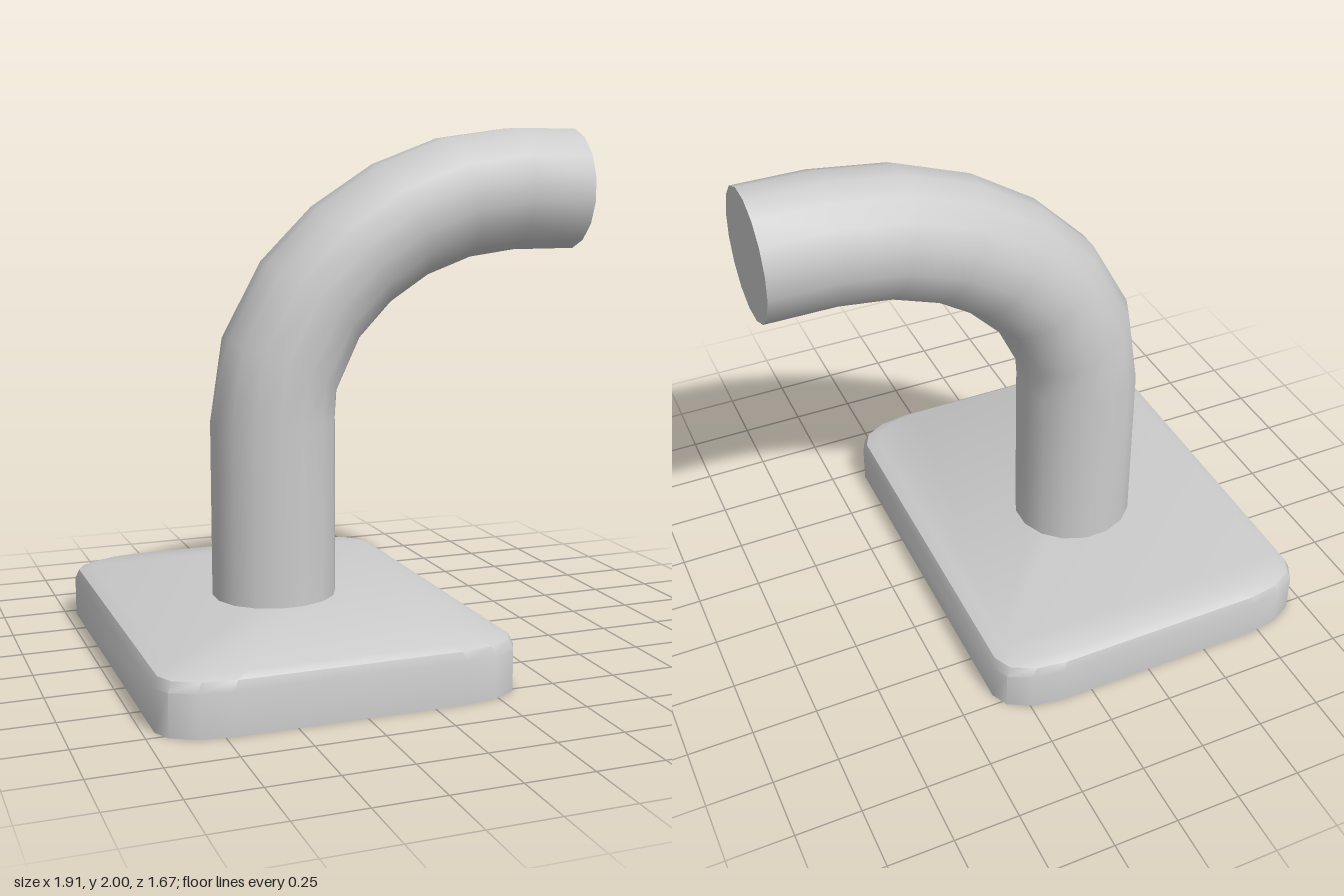
import * as THREE from 'three';
import { toCreasedNormals } from 'three/addons/utils/BufferGeometryUtils.js';

// Skins equal-length rings of points and closes both ends with fans.
function loft(rings) {
  const n = rings[0].length, last = (rings.length - 1) * n;
  const pos = rings.flat().flatMap((p) => p.toArray());
  const idx = [];
  for (let i = 0; i < rings.length - 1; i++) {
    for (let j = 0; j < n; j++) {
      const a = i * n + j, b = i * n + (j + 1) % n;
      idx.push(a, b, b + n, a, b + n, a + n);
    }
  }
  for (let j = 1; j < n - 1; j++) {
    idx.push(0, j + 1, j, last, last + j, last + j + 1);
  }
  const geo = new THREE.BufferGeometry();
  geo.setAttribute('position', new THREE.Float32BufferAttribute(pos, 3));
  geo.setIndex(idx);
  return toCreasedNormals(geo, THREE.MathUtils.degToRad(40));
}

// Rectangle with elliptical corners, three segments each.
function plateRing(y, hx, hz) {
  const cx = -0.3, rx = 0.24, rz = 0.13, ring = [];
  for (let q = 0; q < 4; q++) {
    const sx = q === 0 || q === 3 ? 1 : -1, sz = q < 2 ? -1 : 1;
    for (let k = 0; k <= 3; k++) {
      const a = (q + k / 3) * Math.PI / 2;
      ring.push(new THREE.Vector3(
        cx + sx * (hx - rx) + rx * Math.cos(a), y,
        sz * (hz - rz) - rz * Math.sin(a)));
    }
  }
  return ring;
}

// Sixteen-sided pipe section between an outer and an inner point of the bend.
function pipeRing([ox, oy, ix, iy]) {
  const n = 16, flat = Math.cos(Math.PI / n), ring = [];
  for (let j = 0; j < n; j++) {
    const a = (j + 0.5) * 2 * Math.PI / n, c = Math.cos(a) / flat / 2;
    ring.push(new THREE.Vector3(
      (ox + ix) / 2 + c * (ix - ox),
      (oy + iy) / 2 + c * (iy - oy),
      -0.04 - 0.225 / flat * Math.sin(a)));
  }
  return ring;
}

export function createModel() {
  const group = new THREE.Group();
  const material = new THREE.MeshStandardMaterial({ color: 0xcccccc });
  const add = (name, rings) => {
    const mesh = new THREE.Mesh(loft(rings), material);
    mesh.name = name;
    group.add(mesh);
  };

  // Mounting plate with a softened top edge
  add('basePlate', [
    plateRing(0, 0.66, 0.835),
    plateRing(0.155, 0.66, 0.835),
    plateRing(0.19, 0.645, 0.825),
    plateRing(0.21, 0.60, 0.795),
  ]);

  // Upright pipe bending over to a level end: outer x, y and inner x, y
  add('bentPipe', [
    [-0.54, 0.19, -0.067, 0.19],
    [-0.54, 0.89, -0.067, 0.9],
    [-0.49, 1.21, -0.06, 1.0],
    [-0.335, 1.495, 0.035, 1.2],
    [-0.13, 1.7, 0.165, 1.335],
    [0.12, 1.86, 0.32, 1.435],
    [0.39, 1.96, 0.5, 1.5],
    [0.69, 2.0, 0.69, 1.525],
    [0.955, 2.0, 0.955, 1.525],
  ].map(pipeRing));

  return group;
}
